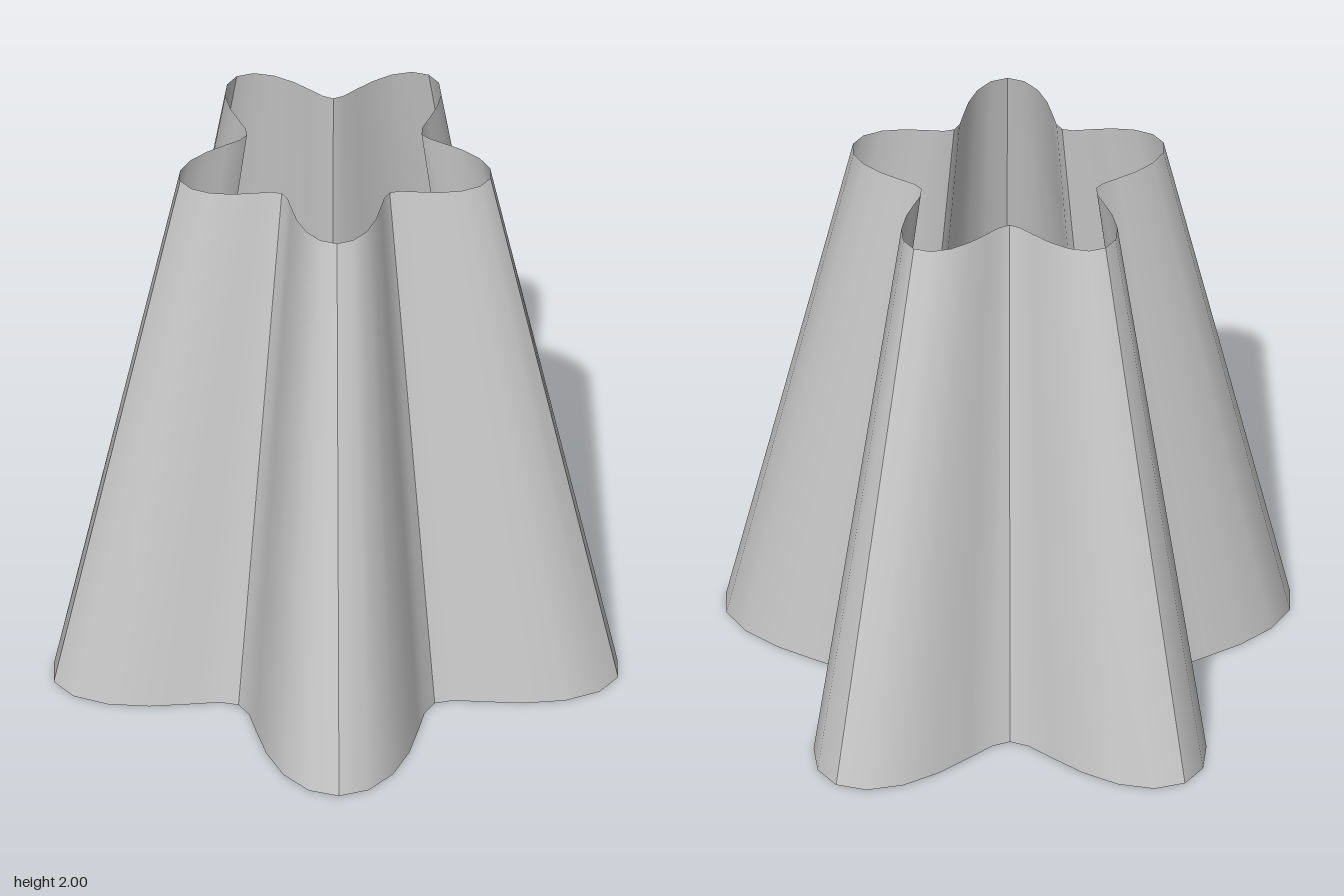
import * as THREE from 'three';
import { toCreasedNormals } from 'three/addons/utils/BufferGeometryUtils.js';

const HEIGHT = 2, BASE = 0.8, TOP = 0.44, SEGMENTS = 60;
const LOBES = 5, DEPTH = 0.28, OFFSET_X = -0.084;

// Pushes round outlines in and out into five wavy lobes
function addLobes(geometry) {
  const p = geometry.attributes.position;
  for (let i = 0; i < p.count; i++) {
    const x = p.getX(i), z = p.getZ(i);
    const k = 1 + DEPTH * Math.cos(LOBES * Math.atan2(z, x));
    p.setXYZ(i, x * k, p.getY(i), z * k);
  }
  return geometry;
}

export function createModel() {
  const grey = new THREE.MeshStandardMaterial({ color: 0xcccccc, side: THREE.DoubleSide });
  grey.name = 'light grey';

  const group = new THREE.Group();
  group.name = 'lobedCup';
  const add = (name, geometry) => {
    const mesh = new THREE.Mesh(geometry, grey);
    mesh.name = name;
    mesh.position.x = OFFSET_X;
    group.add(mesh);
  };

  // Tapered wall, open at the top, creased along each ridge and valley
  const wall = new THREE.CylinderGeometry(TOP, BASE, HEIGHT, SEGMENTS, 1, true);
  wall.translate(0, HEIGHT / 2, 0);
  add('wall', toCreasedNormals(addLobes(wall), THREE.MathUtils.degToRad(32)));

  // Flat floor facing down
  const floor = new THREE.CircleGeometry(BASE, SEGMENTS).rotateX(Math.PI / 2);
  add('floor', addLobes(floor));

  return group;
}
